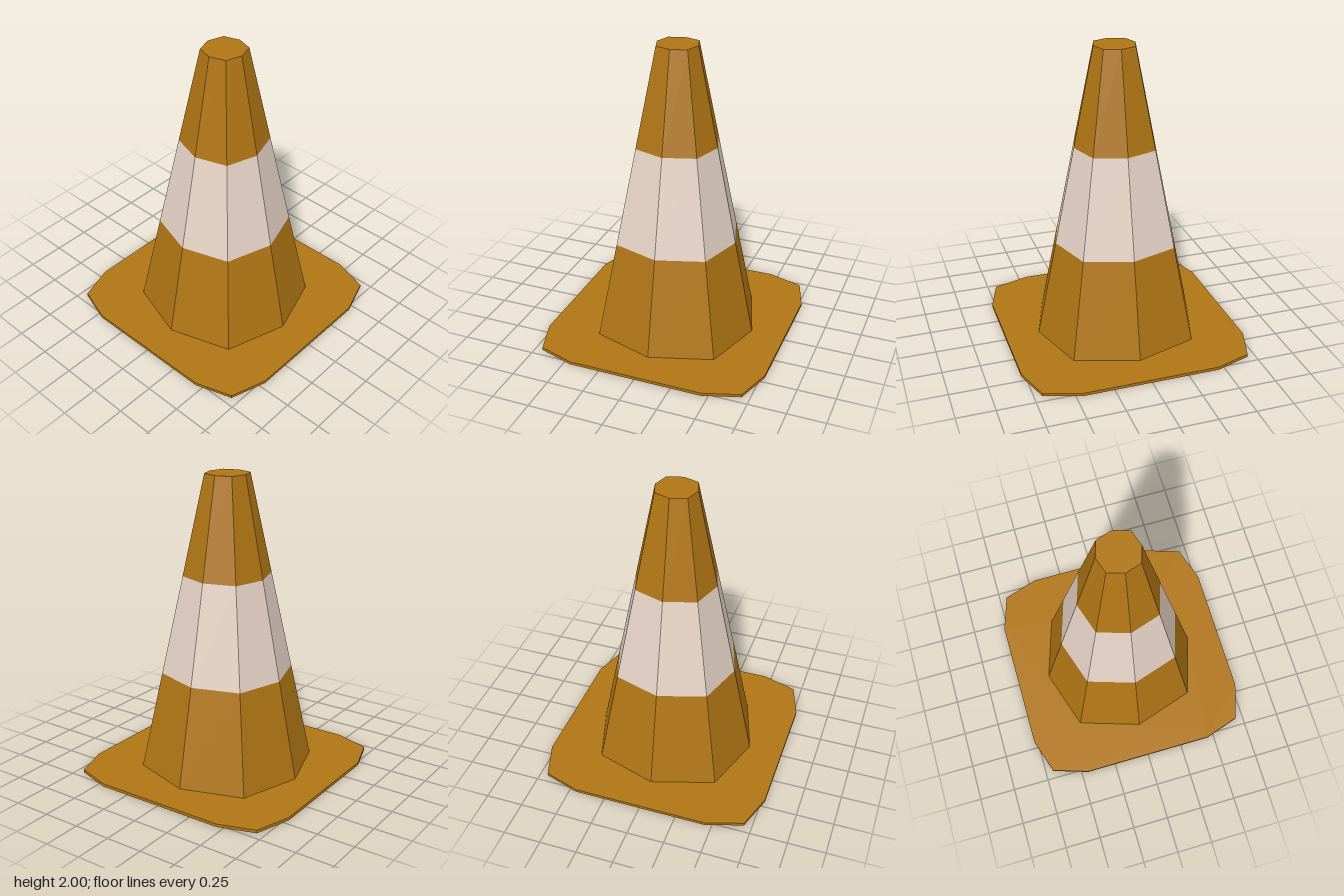
import * as THREE from 'three';

const material = (color) => new THREE.MeshStandardMaterial({ color, flatShading: true, side: THREE.DoubleSide });

const BASE_TOP = 0.02, TOP = 2, R_BOTTOM = 0.545, R_TOP = 0.138;
const DIAGONAL = 1.073; // the diagonal corners stand out a little further

const radiusAt = (y) => THREE.MathUtils.mapLinear(y, BASE_TOP, TOP, R_BOTTOM, R_TOP);

// Corners of the eight-sided cone at a given radius
function octagon(radius) {
  return Array.from({ length: 8 }, (_, i) => {
    const a = (i * Math.PI) / 4;
    const r = radius * (i % 2 ? DIAGONAL : 1);
    return new THREE.Vector2(Math.cos(a) * r, Math.sin(a) * r);
  });
}

// Open eight-sided ring of the cone between two heights
function coneBand(y0, y1) {
  const geometry = new THREE.CylinderGeometry(radiusAt(y1), radiusAt(y0), y1 - y0, 8, 1, true);
  geometry.translate(0, (y0 + y1) / 2, 0);
  const p = geometry.attributes.position;
  for (let i = 0; i < p.count; i++) {
    const x = p.getX(i), z = p.getZ(i);
    if (Math.abs(x * z) > 1e-4) p.setXYZ(i, x * DIAGONAL, p.getY(i), z * DIAGONAL);
  }
  geometry.computeVertexNormals();
  return geometry;
}

export function createModel() {
  const group = new THREE.Group();
  const orange = material(0xb07514);
  const white = material(0xe6d3c6);
  const add = (name, geometry, mat) => {
    const mesh = new THREE.Mesh(geometry, mat);
    mesh.name = name;
    group.add(mesh);
  };

  // Base plate: square with bevelled corners, open under the cone
  const corners = [];
  for (let i = 0; i < 4; i++) {
    for (const [x, y] of [[0.775, 0.455], [0.697, 0.697], [0.455, 0.775]]) {
      corners.push(new THREE.Vector2(x, y).rotateAround(new THREE.Vector2(), (i * Math.PI) / 2));
    }
  }
  const plate = new THREE.Shape(corners);
  plate.holes.push(new THREE.Path(octagon(R_BOTTOM).reverse()));
  const base = new THREE.ExtrudeGeometry(plate, { depth: BASE_TOP, bevelEnabled: false });
  base.rotateX(-Math.PI / 2);
  add('basePlate', base, orange);

  // Hollow cone in three bands
  add('lowerCone', coneBand(BASE_TOP, 0.68), orange);
  add('reflectiveBand', coneBand(0.68, 1.34), white);
  add('upperCone', coneBand(1.34, TOP), orange);

  // Flat tip
  const cap = new THREE.ShapeGeometry(new THREE.Shape(octagon(R_TOP)));
  cap.rotateX(-Math.PI / 2).translate(0, TOP, 0);
  add('topCap', cap, orange);

  return group;
}
